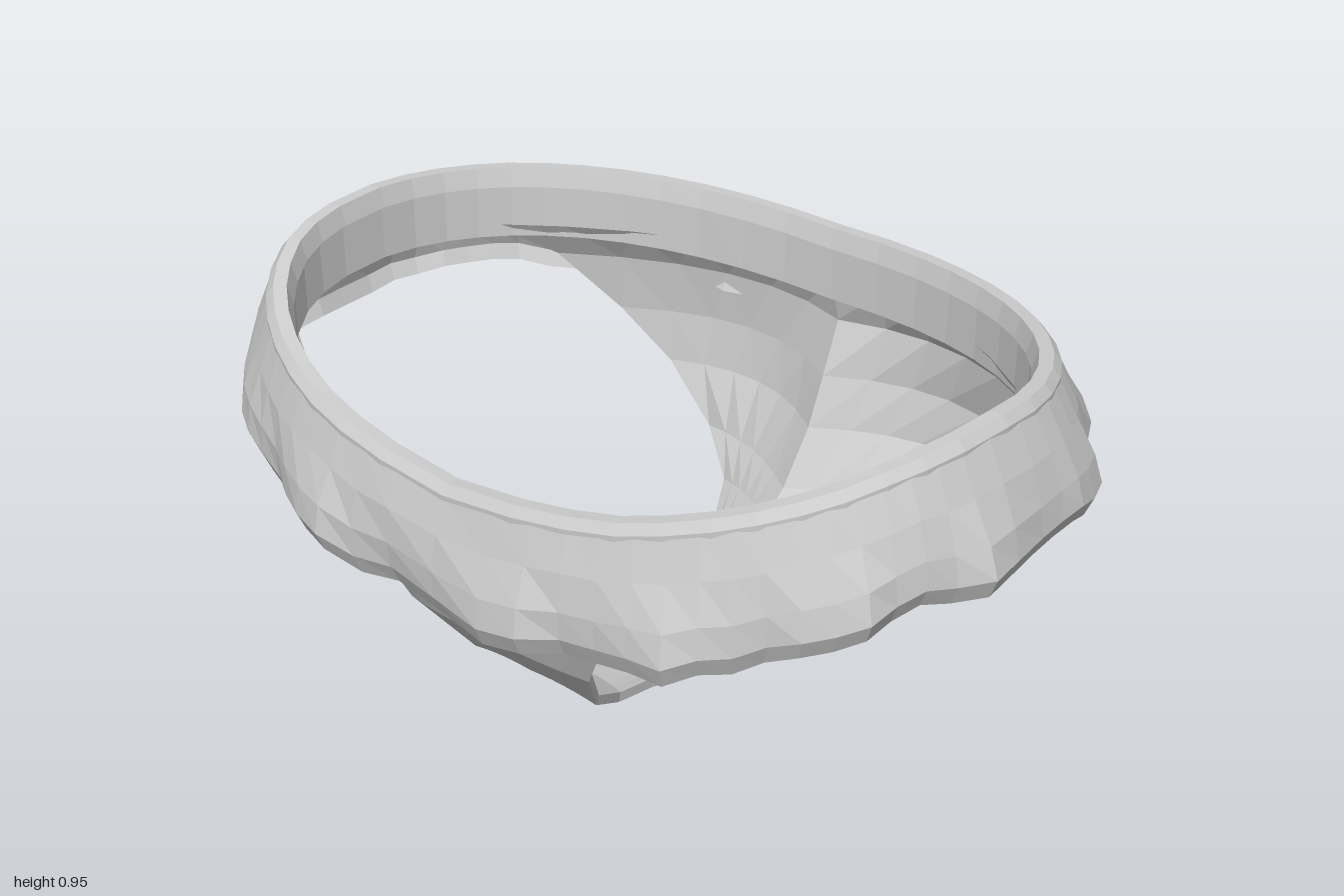
import * as THREE from 'three';

const material = new THREE.MeshStandardMaterial({ color: 0xcccccc, flatShading: true });

// piecewise-linear lookup in [key, value] pairs
function lookup(table, k) {
  for (let i = 1; i < table.length; i++) {
    const [k0, v0] = table[i - 1], [k1, v1] = table[i];
    if (k <= k1) return v0 + (v1 - v0) * (k - k0) / (k1 - k0);
  }
  return table[table.length - 1][1];
}

// skins a list of closed cross-sections; optionally joins last to first
function loft(name, sections, closed) {
  const n = sections[0].length, pos = sections.flat().flatMap(p => [p.x, p.y, p.z]), index = [];
  const count = closed ? sections.length : sections.length - 1;
  for (let i = 0; i < count; i++) {
    const i2 = (i + 1) % sections.length;
    for (let j = 0; j < n; j++) {
      const j2 = (j + 1) % n;
      const a = i * n + j, b = i * n + j2, c = i2 * n + j2, d = i2 * n + j;
      index.push(a, b, c, a, c, d);
    }
  }
  const geo = new THREE.BufferGeometry();
  geo.setAttribute('position', new THREE.Float32BufferAttribute(pos, 3));
  geo.setIndex(index);
  geo.computeVertexNormals();
  const mesh = new THREE.Mesh(geo, material);
  mesh.name = name;
  return mesh;
}

// heights and flare by degrees from the front centre (0) to the back (180)
const waistY = [[0, 0.735], [21, 0.78], [49, 0.87], [70, 0.93], [88, 0.95], [135, 0.925], [180, 0.9]];
const hemY = [[0, 0.445], [30, 0.5], [50, 0.57], [70, 0.645], [100, 0.66], [140, 0.635], [180, 0.62]];
const flare = [[0, 0.075], [40, 0.085], [90, 0.11], [140, 0.115], [180, 0.125]];

// waist outline, squarer in front than behind, pushed outward by off
function waistPoint(a, off, y) {
  const s = Math.sin(a), c = Math.cos(a), e = 2 / (c > 0 ? 2.6 : 2.2);
  return new THREE.Vector3(
    Math.sign(s) * Math.abs(s) ** e * 0.87 + s * off, y,
    0.03 + Math.sign(c) * Math.abs(c) ** e * 0.61 + c * off);
}

// ring around the waist; profile(deg, i) gives [offset, y] pairs
function waistRing(name, segments, profile) {
  const sections = [];
  for (let i = 0; i < segments; i++) {
    const a = (i / segments) * Math.PI * 2;
    const deg = Math.abs(((a * 180 / Math.PI + 180) % 360) - 180);
    sections.push(profile(deg, i).map(([off, y]) => waistPoint(a, off, y)));
  }
  return loft(name, sections, true);
}

let seed = 7;
function random() {
  seed = (seed * 16807) % 2147483647;
  return seed / 2147483647;
}

export function createModel() {
  const group = new THREE.Group();

  // rolled trim at the top edge
  group.add(waistRing('waistTrim', 48, deg => {
    const y = lookup(waistY, deg);
    return [[0.015, y], [0.032, y - 0.02], [0.032, y - 0.05], [-0.028, y - 0.045], [-0.015, y]];
  }));

  // band that carries the side straps
  group.add(waistRing('waistBand', 48, deg => {
    const y = lookup(waistY, deg);
    return [[0.018, y - 0.03], [0.022, y - 0.1], [0.018, y - 0.17], [-0.022, y - 0.17], [-0.018, y - 0.03]];
  }));

  // gathered ruffle hanging outside the band
  group.add(waistRing('ruffle', 70, (deg, i) => {
    const top = lookup(waistY, deg) - 0.025, h = top - lookup(hemY, deg);
    const wave = 0.02 * Math.sin(i * Math.PI / 2.5) + 0.022 * (random() - 0.5);
    const f = lookup(flare, deg), drop = 0.025 * (random() - 0.5);
    const y = k => top - h * k + drop * k;
    return [
      [0.03, y(0)], [0.025 + f * 0.4, y(0.3)], [0.025 + f * 0.7 + wave * 0.6, y(0.6)],
      [f + 0.005 + wave, y(0.84)], [f - 0.015 + wave, y(1)],
      [f - 0.04 + wave, y(0.98)], [f - 0.025 + wave, y(0.84)],
      [f * 0.6 - 0.005 + wave * 0.5, y(0.6)], [0.025, y(0.3)], [0.01, y(0)],
    ];
  }));

  // body panel, front to back: centre y, centre z, half width, edge y, edge z, bulge in z
  const rows = [
    [0.62, 0.645, 0.74, 0.76, 0.42, 0.1],
    [0.55, 0.635, 0.5, 0.58, 0.55, 0.03],
    [0.45, 0.605, 0.34, 0.45, 0.575, 0.01],
    [0.33, 0.555, 0.26, 0.32, 0.53, 0.01],
    [0.2, 0.44, 0.18, 0.18, 0.425, 0],
    [0.1, 0.28, 0.1, 0.08, 0.27, 0],
    [0.06, 0.12, 0.06, 0.03, 0.12, 0],
    [0.05, 0.02, 0.045, 0, 0.03, 0],
    [0.09, -0.12, 0.08, 0.05, -0.13, 0],
    [0.17, -0.25, 0.14, 0.12, -0.3, 0],
    [0.23, -0.35, 0.25, 0.2, -0.49, -0.01],
    [0.29, -0.42, 0.37, 0.28, -0.57, -0.03],
    [0.42, -0.51, 0.5, 0.42, -0.57, -0.08],
    [0.54, -0.56, 0.61, 0.55, -0.51, -0.11],
    [0.67, -0.61, 0.72, 0.7, -0.4, -0.12],
    [0.78, -0.585, 0.8, 0.8, -0.25, -0.12],
  ];
  const steps = 12, centre = new THREE.Vector3(0, 0.6, 0);
  const sections = rows.map(([yc, zc, w, ye, ze, bulge]) => {
    const outer = [], inner = [];
    for (let j = 0; j <= steps; j++) {
      const u = 1 - 2 * j / steps, k = Math.abs(u);
      const z = zc + (ze - zc) * k + bulge * 4 * k * (1 - k);
      const p = new THREE.Vector3(u * w, yc + (ye - yc) * k * k, z);
      outer.push(p);
      inner.unshift(p.clone().add(centre.clone().sub(p).setLength(0.022)));
    }
    return [...outer, ...inner];
  });
  group.add(loft('bodyPanel', sections, false));

  return group;
}
